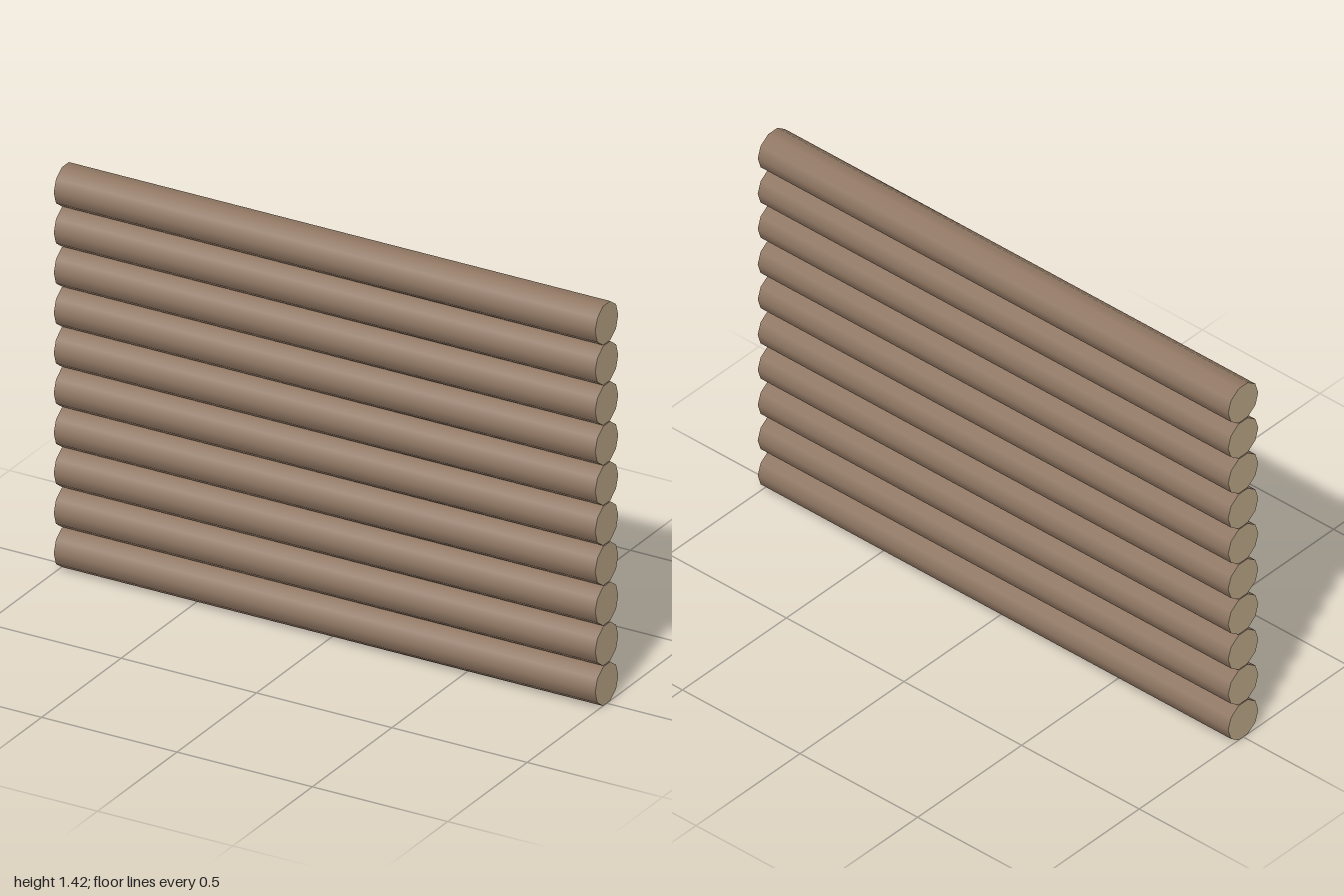
import * as THREE from 'three';

// Wall of ten stacked ten-sided logs lying along x
export function createModel() {
  const model = new THREE.Group();
  model.name = 'logWall';

  const count = 10, sides = 10, radius = 0.0725, length = 2, spacing = 0.1419;
  const halfHeight = radius * Math.cos(Math.PI / sides); // flats face up and down

  const bark = new THREE.MeshStandardMaterial({ color: 0x8f7662 });
  const cutWood = new THREE.MeshStandardMaterial({ color: 0xb8a385 });

  // Smooth bark with paler cut ends
  const logGeometry = new THREE.CylinderGeometry(radius, radius, length, sides);
  logGeometry.rotateZ(Math.PI / 2);

  for (let i = 0; i < count; i++) {
    const log = new THREE.Mesh(logGeometry, [bark, cutWood, cutWood]);
    log.name = `log${i + 1}`;
    log.position.y = halfHeight + i * spacing;
    model.add(log);
  }
  return model;
}
